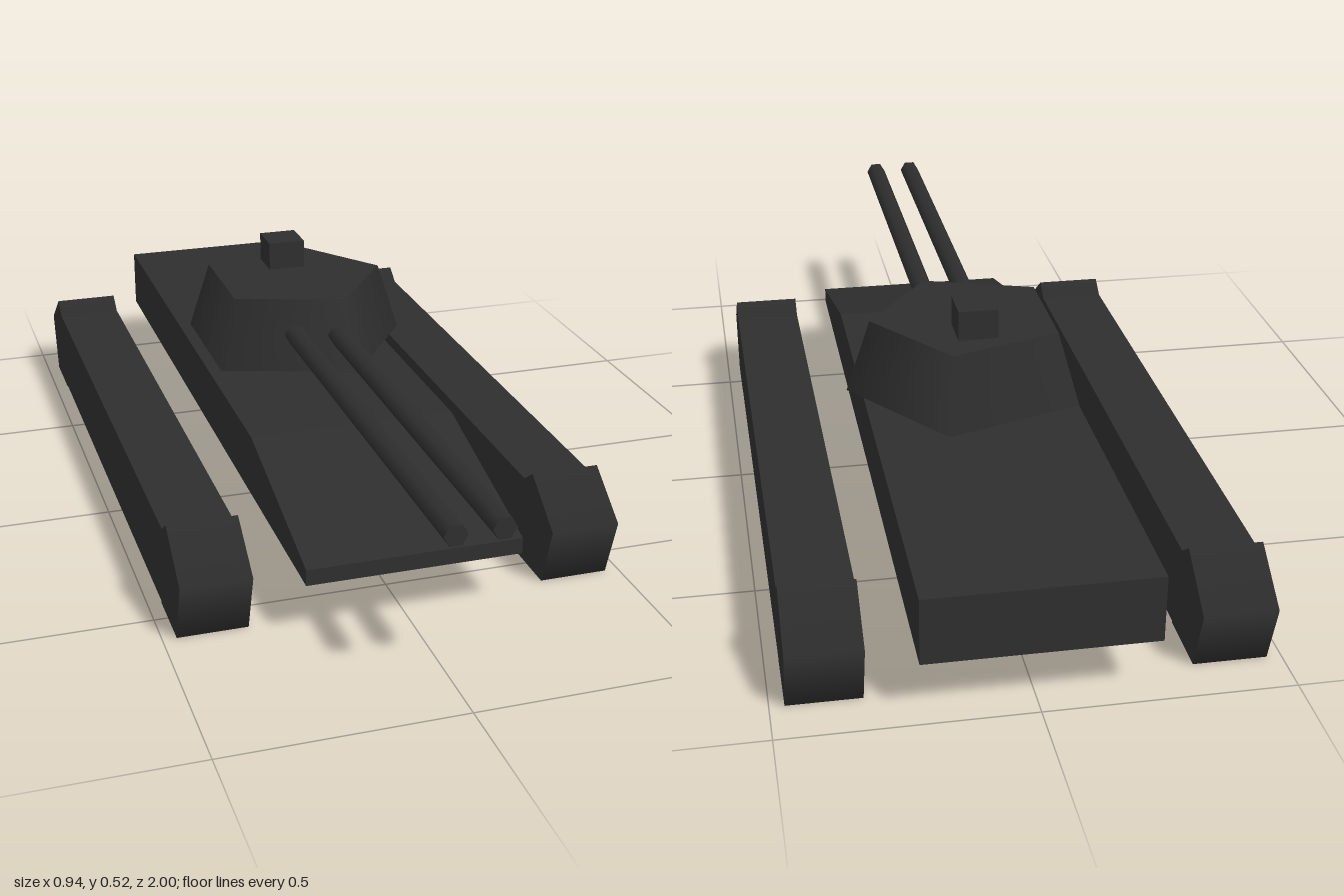
import * as THREE from 'three';

export function createModel() {
  const model = new THREE.Group();
  model.name = 'tank';
  const darkGrey = new THREE.MeshStandardMaterial({ color: 0x2e2e2e });
  darkGrey.name = 'darkGrey';

  function add(name, geometry, x, y, z, parent = model) {
    const mesh = new THREE.Mesh(geometry, darkGrey);
    mesh.name = name;
    mesh.position.set(x, y, z);
    parent.add(mesh);
    return mesh;
  }

  // Hull: side profile (z, y) with a sloped front deck, extruded across x
  const profile = [[0.68, 0.133], [0.68, 0.168], [0.27, 0.272], [-1, 0.272], [-1, 0.133]];
  const hullShape = new THREE.Shape(profile.map(([z, y]) => new THREE.Vector2(-z, y)));
  const hull = new THREE.ExtrudeGeometry(hullShape, { depth: 0.458, bevelEnabled: false });
  hull.translate(0, 0, -0.229).rotateY(Math.PI / 2);
  add('hull', hull, 0, 0, 0);

  // Tracks: a long box between two five-sided rollers
  for (const [name, side] of [['left', 1], ['right', -1]]) {
    const track = new THREE.Group();
    track.name = name + 'Track';
    track.position.x = side * 0.396;
    model.add(track);
    add('trackBody', new THREE.BoxGeometry(0.149, 0.185, 1.34), 0, 0.0975, -0.16, track);
    for (const [end, z] of [['front', 0.51], ['rear', -0.83]]) {
      const roller = new THREE.CylinderGeometry(0.121, 0.121, 0.149, 5, 1, false, Math.PI / 2);
      roller.rotateZ(Math.PI / 2); // one corner points up
      add(end + 'Roller', roller, 0, 0.098, z, track);
    }
  }

  // Turret: tapered pentagon with a corner towards +x
  add('turret', new THREE.CylinderGeometry(0.214, 0.267, 0.16, 5, 1, false, Math.PI / 2), 0, 0.38, -0.2);
  add('hatch', new THREE.BoxGeometry(0.085, 0.085, 0.085), 0, 0.4825, -0.288);

  // Twin hexagonal gun barrels
  for (const [name, side] of [['leftBarrel', 1], ['rightBarrel', -1]]) {
    const barrel = new THREE.CylinderGeometry(0.024, 0.024, 1.1, 6, 1, false, Math.PI / 2);
    barrel.rotateX(Math.PI / 2);
    add(name, barrel, side * 0.047, 0.38, 0.45);
  }
  return model;
}
